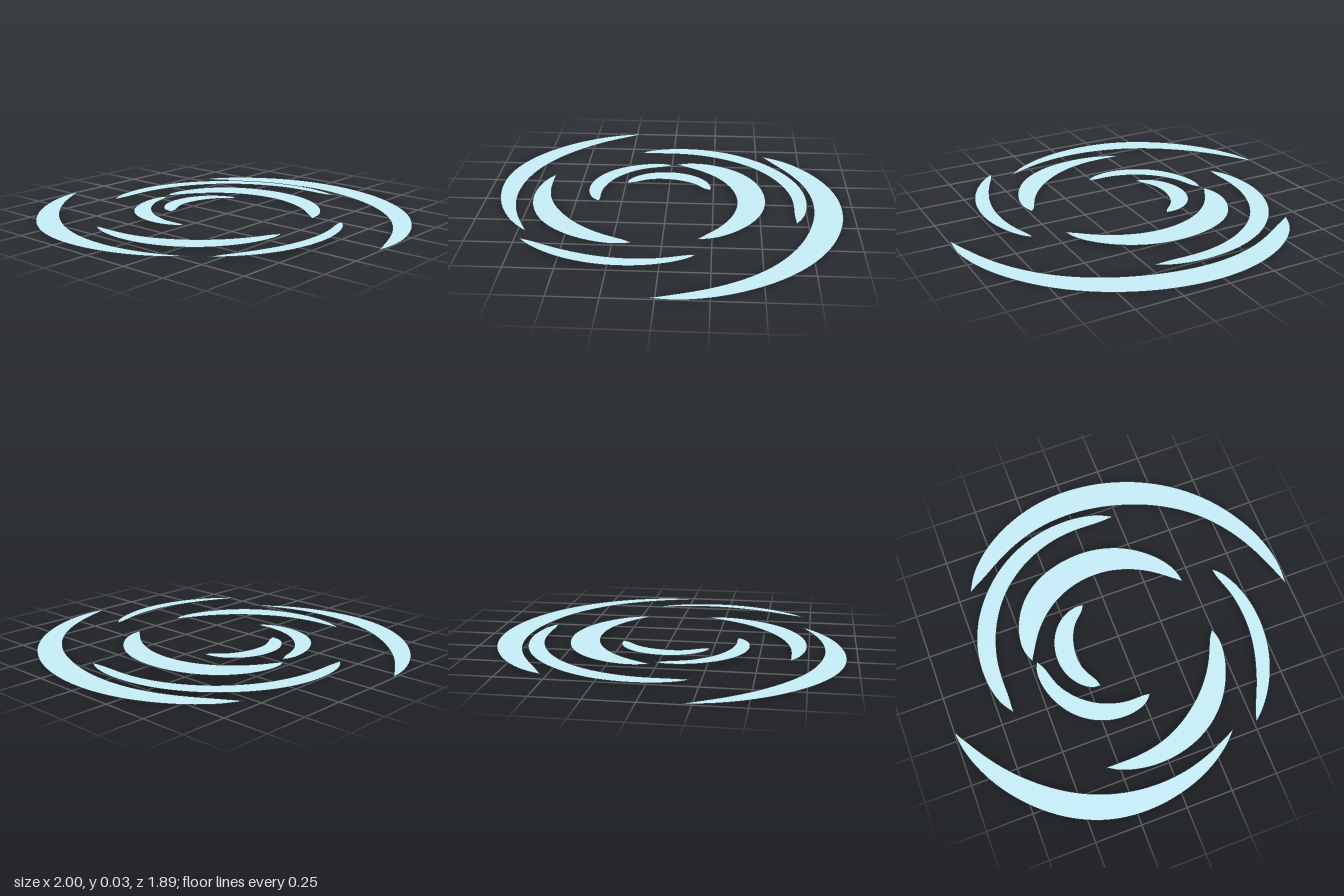
import * as THREE from 'three';

// Flat crescents winding around the origin, lowest first: the angles of the two tips in degrees,
// then the radii of the outer and inner edges between them (both edges share their tips).
const crescents = {
  outerBackCrescent: { tips: [142.1, -2.6], outer: [0.862, 0.898, 0.934, 0.957, 0.99, 1.004, 0.988], inner: [0.822, 0.798, 0.802, 0.876, 0.945] },
  outerFrontCrescent: { tips: [191, 298.9], outer: [1.019, 1.031, 1.031, 1.003, 0.914, 0.836, 0.8], inner: [0.982, 0.92, 0.869, 0.826, 0.801] },
  leftCrescent: { tips: [71.1, 197.4], outer: [0.726, 0.748, 0.766, 0.773, 0.769, 0.737, 0.703], inner: [0.694, 0.68, 0.673, 0.667, 0.676] },
  frontCrescent: { tips: [-16.6, -115.9], outer: [0.513, 0.553, 0.621, 0.699, 0.739, 0.744, 0.733], inner: [0.499, 0.513, 0.561, 0.638, 0.7] },
  backCrescent: { tips: [177.6, 20.5], outer: [0.486, 0.527, 0.559, 0.538, 0.521, 0.503, 0.48], inner: [0.453, 0.406, 0.38, 0.396, 0.443] },
  innerFrontCrescent: { tips: [178.4, 276.6], outer: [0.465, 0.487, 0.504, 0.503, 0.466, 0.413, 0.373], inner: [0.44, 0.427, 0.404, 0.38, 0.366] },
  coreCrescent: { tips: [117, 231.8], outer: [0.26, 0.286, 0.329, 0.356, 0.358, 0.332, 0.303], inner: [0.242, 0.241, 0.247, 0.267, 0.281] },
  rightCrescent: { tips: [16.1, -55], outer: [0.65, 0.683, 0.737, 0.797, 0.847, 0.873, 0.877], inner: [0.645, 0.671, 0.715, 0.771, 0.834] },
};
const layerStep = 0.0043;

// Smooth edge in polar form; the radii sit closer together towards the tips
function edge([from, to], radii) {
  const knots = radii.map((radius, i) => {
    const t = (1 - Math.cos((Math.PI * i) / (radii.length - 1))) / 2;
    return new THREE.Vector3(THREE.MathUtils.degToRad(from + (to - from) * t), radius, 0);
  });
  return new THREE.CatmullRomCurve3(knots)
    .getPoints(72)
    .map(({ x: angle, y: radius }) => new THREE.Vector2(radius * Math.cos(angle), radius * Math.sin(angle)));
}

export function createModel() {
  const group = new THREE.Group();
  group.name = 'spiralCrescents';
  const material = new THREE.MeshStandardMaterial({ color: 0xc8f0fb, side: THREE.DoubleSide });

  // Each crescent lies on its own thin layer
  Object.entries(crescents).forEach(([name, { tips, outer, inner }], layer) => {
    const there = edge(tips, outer);
    const back = edge(tips, [outer[0], ...inner, outer.at(-1)]).slice(1, -1).reverse();
    const geometry = new THREE.ShapeGeometry(new THREE.Shape([...there, ...back]));
    geometry.rotateX(-Math.PI / 2);
    const mesh = new THREE.Mesh(geometry, material);
    mesh.name = name;
    mesh.position.y = layer * layerStep;
    group.add(mesh);
  });
  return group;
}
